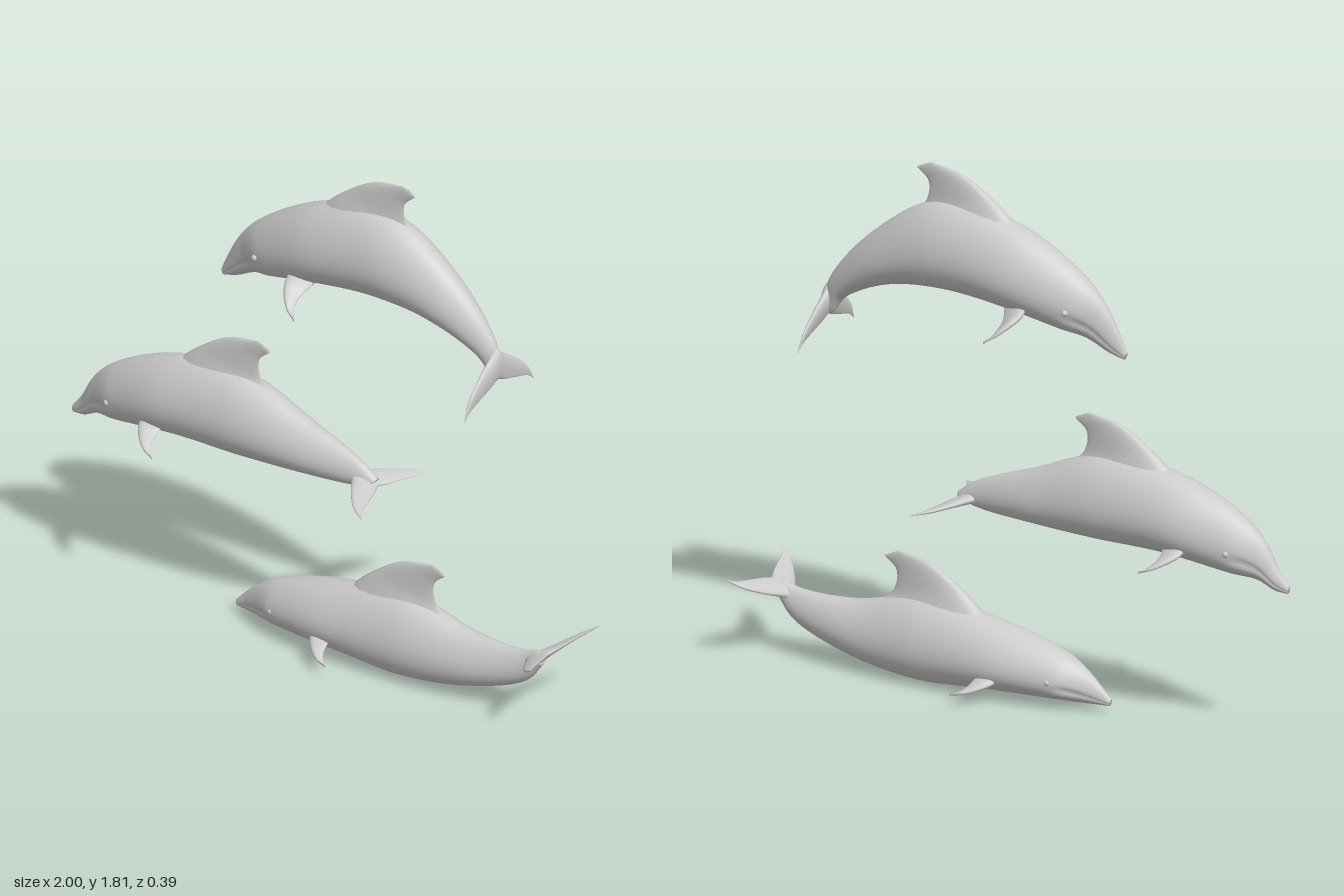
import * as THREE from 'three';

const material = new THREE.MeshStandardMaterial({ color: 0xcccccc });
const V = (x, y, z = 0) => new THREE.Vector3(x, y, z);

// Closed smooth skin over sections. Each section runs from a leading point to a
// trailing point and bulges by a side vector; taper shifts the widest place.
function loft(leads, trails, sides, { taper = 0.4, steps = 24, around = 20, pinch = () => 1 } = {}) {
  const curves = [leads, trails, sides].map(p => new THREE.CatmullRomCurve3(p, false, 'centripetal'));
  const pos = [], index = [];
  for (let i = 0; i <= steps; i++) {
    const u = i / steps;
    const [a, b, side] = curves.map(c => c.getPoint(u));
    const mid = a.clone().add(b).multiplyScalar(0.5);
    const half = a.clone().sub(b).multiplyScalar(0.5);
    for (let j = 0; j < around; j++) {
      const t = j / around * Math.PI * 2, c = Math.cos(t), s = Math.sin(t);
      const bulge = s * (1 + taper * c) * pinch(u, t);
      const p = mid.clone().addScaledVector(half, c).addScaledVector(side, bulge);
      pos.push(p.x, p.y, p.z);
    }
  }
  for (let i = 0; i < steps; i++) {
    for (let j = 0; j < around; j++) {
      const k = (j + 1) % around;
      const a = i * around + j, c = i * around + k, b = a + around, d = c + around;
      index.push(a, c, b, c, d, b);
    }
  }
  // end caps
  const last = steps * around;
  for (let j = 1; j < around - 1; j++) {
    index.push(0, j + 1, j, last, last + j, last + j + 1);
  }
  // turn the skin outward if its signed volume is negative
  const at = i => V(pos[i * 3], pos[i * 3 + 1], pos[i * 3 + 2]);
  let volume = 0;
  for (let i = 0; i < index.length; i += 3) {
    volume += at(index[i]).dot(at(index[i + 1]).cross(at(index[i + 2])));
  }
  if (volume < 0) index.reverse();
  const g = new THREE.BufferGeometry();
  g.setAttribute('position', new THREE.Float32BufferAttribute(pos, 3));
  g.setIndex(index);
  g.computeVertexNormals();
  return g;
}

// Shallow groove for the mouth along the beak and cheek
function mouth(u, t) {
  const angle = Math.min(t, Math.PI * 2 - t);
  const fade = 1 - THREE.MathUtils.smoothstep(u, 0.3, 0.4);
  return 1 - 0.13 * fade * Math.exp(-(((angle - 1.85) / 0.13) ** 2));
}

// Body between a back line and a belly line, half widths shared by all poses
const widths = [0.01, 0.022, 0.042, 0.083, 0.118, 0.111, 0.08, 0.036, 0.02];
function bodyGeometry(back, belly) {
  return loft(back.map(p => V(...p)), belly.map(p => V(...p)), widths.map(w => V(0, 0, w)),
    { taper: -0.2, steps: 72, around: 48, pinch: mouth });
}

// Swept dorsal fin: lead x, y, trail x, y, half thickness
function dorsalGeometry() {
  const rows = [
    [-0.6, 0.83, -0.1, 0.79, 0.06], [-0.555, 0.885, -0.175, 0.85, 0.04],
    [-0.485, 0.945, -0.235, 0.9, 0.024], [-0.37, 1.015, -0.245, 0.97, 0.012],
    [-0.255, 1.038, -0.2, 1.013, 0.003]];
  return loft(rows.map(r => V(r[0], r[1])), rows.map(r => V(r[2], r[3])),
    rows.map(r => V(0, 0, r[4])));
}

// Flipper: lead x, trail x, y, z, half thickness
function flipperGeometry(side) {
  const rows = [
    [-0.005, 0.09, 0.025, 0.065, 0.02], [0.005, 0.08, -0.005, 0.11, 0.013],
    [0.035, 0.086, -0.025, 0.15, 0.009], [0.075, 0.106, -0.044, 0.18, 0.005],
    [0.118, 0.122, -0.055, 0.193, 0.002]];
  return loft(rows.map(r => V(r[0], r[2] + 0.005, side * r[3])),
    rows.map(r => V(r[1], r[2] - 0.005, side * r[3])),
    rows.map(r => V(0, r[4], 0)));
}

// Tail fluke from tip to tip: lead x, trail x, z, half thickness
function flukeGeometry() {
  const half = [
    [-0.04, 0.075, 0, 0.02], [-0.01, 0.088, 0.035, 0.014], [0.028, 0.105, 0.09, 0.009],
    [0.09, 0.128, 0.16, 0.005], [0.148, 0.151, 0.191, 0.001]];
  const rows = [...half.slice(1).reverse().map(r => [r[0], r[1], -r[2], r[3]]), ...half];
  return loft(rows.map(r => V(r[0], 0, r[2])), rows.map(r => V(r[1], 0, r[2])),
    rows.map(r => V(0, r[3], 0)), { steps: 40 });
}

function part(name, geometry, x = 0, y = 0, angle = 0, z = 0) {
  const m = new THREE.Mesh(geometry, material);
  m.name = name;
  m.position.set(x, y, z);
  m.rotation.z = angle;
  return m;
}

// One dolphin: the body follows its pose, fins are placed by x, y and angle
function dolphin(name, back, belly, { dorsal, flipper, fluke, eye }) {
  const g = new THREE.Group();
  g.name = name;
  g.add(part('body', bodyGeometry(back, belly)));
  g.add(part('dorsalFin', dorsalGeometry(), ...dorsal));
  g.add(part('tailFluke', flukeGeometry(), ...fluke));
  // the animals face -x, so their own left is +z
  for (const [label, side] of [['left', 1], ['right', -1]]) {
    g.add(part(label + 'Flipper', flipperGeometry(side), ...flipper));
    g.add(part(label + 'Eye', new THREE.SphereGeometry(0.011, 16, 10), ...eye, 0, side * 0.081));
  }
  return g;
}

function leapingDolphin() {
  const back = [[-0.395, 1.27], [-0.37, 1.325], [-0.32, 1.415], [-0.235, 1.505], [0.02, 1.647],
    [0.31, 1.68], [0.555, 1.528], [0.71, 1.345], [0.737, 1.25]];
  const belly = [[-0.385, 1.245], [-0.33, 1.262], [-0.25, 1.3], [-0.165, 1.318], [0.07, 1.365],
    [0.29, 1.382], [0.49, 1.358], [0.655, 1.28], [0.695, 1.225]];
  return dolphin('leapingDolphin', back, belly, {
    dorsal: [0.59, 0.77], flipper: [-0.065, 1.375, -0.26], fluke: [0.715, 1.285, -1.48], eye: [-0.205, 1.4] });
}

function glidingDolphin() {
  const back = [[-1, 0.56], [-0.965, 0.605], [-0.91, 0.7], [-0.82, 0.78], [-0.58, 0.882],
    [-0.3, 0.9], [-0.05, 0.81], [0.16, 0.73], [0.235, 0.68]];
  const belly = [[-0.995, 0.535], [-0.95, 0.54], [-0.89, 0.567], [-0.8, 0.577], [-0.57, 0.608],
    [-0.3, 0.612], [-0.06, 0.622], [0.14, 0.634], [0.215, 0.652]];
  return dolphin('glidingDolphin', back, belly, {
    dorsal: [0, 0], flipper: [-0.66, 0.645], fluke: [0.165, 0.67, -0.21], eye: [-0.805, 0.665] });
}

function risingDolphin() {
  const back = [[-0.335, 0.05], [-0.3, 0.087], [-0.255, 0.128], [-0.165, 0.183], [0.08, 0.253],
    [0.36, 0.29], [0.62, 0.235], [0.82, 0.235], [0.89, 0.255]];
  const belly = [[-0.33, 0.027], [-0.28, 0.025], [-0.23, 0.024], [-0.15, 0.025], [0.09, 0.02],
    [0.36, 0.003], [0.61, 0.04], [0.84, 0.125], [0.91, 0.21]];
  return dolphin('risingDolphin', back, belly, {
    dorsal: [0.71, -0.607], flipper: [0.035, 0.075, 0.17], fluke: [0.87, 0.215, 0.56], eye: [-0.14, 0.1] });
}

export function createModel() {
  const model = new THREE.Group();
  model.name = 'dolphins';
  model.add(leapingDolphin(), glidingDolphin(), risingDolphin());
  return model;
}
